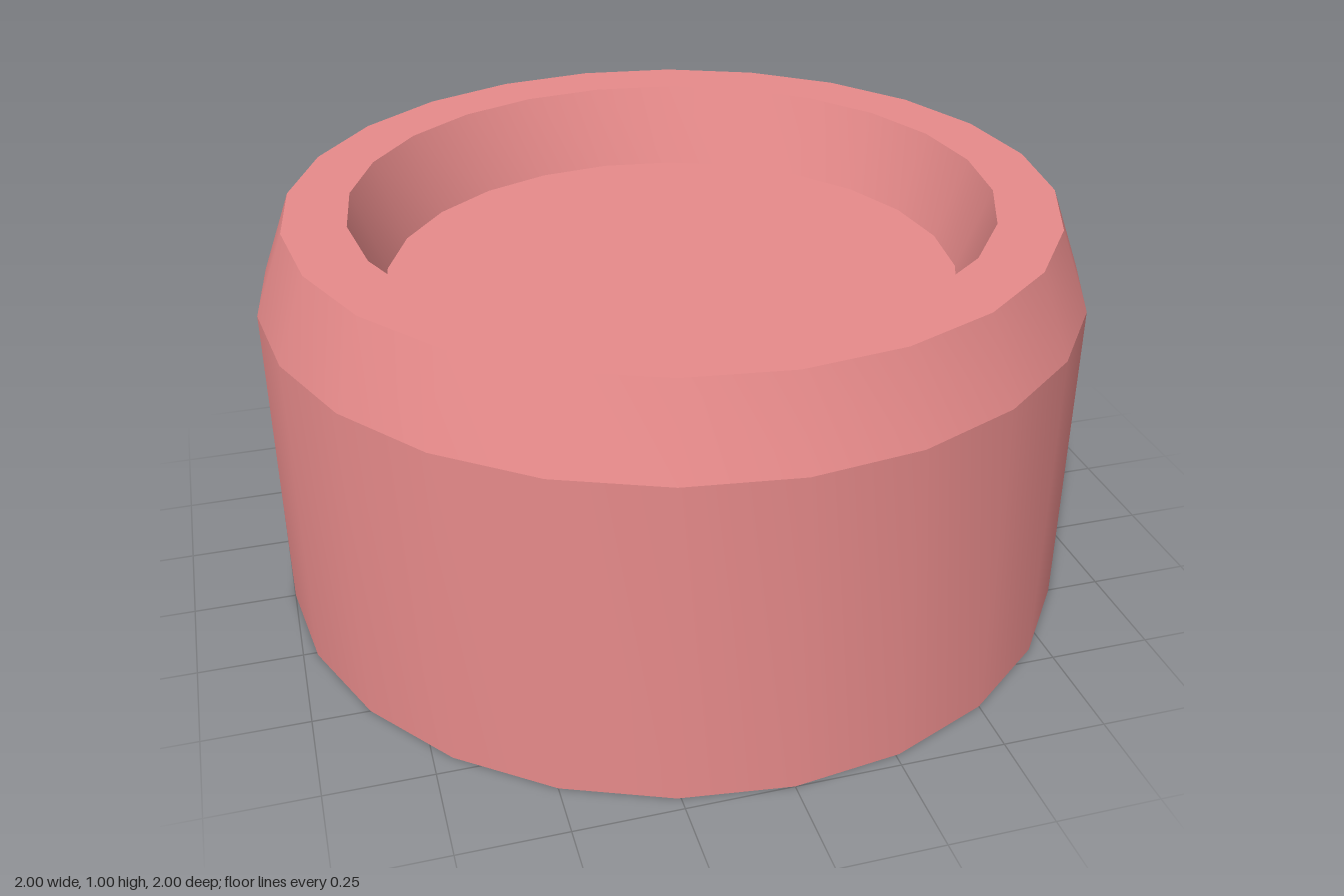
import * as THREE from 'three';
import { toCreasedNormals } from 'three/addons/utils/BufferGeometryUtils.js';

const SIDES = 24;

export function createModel() {
  const model = new THREE.Group();
  model.name = 'button';
  const material = new THREE.MeshStandardMaterial({ color: 0xe68a8a });

  // Profile from the base centre, up the wall, over the rim, into the recess
  const profile = [
    [0, 0], [1, 0], // base
    [1, 0.8], [0.925, 1], // wall and bevel
    [0.775, 1], [0.7, 0.8], // flat rim and sloped recess wall
    [0, 0.8], // recess floor
  ].map(([r, y]) => new THREE.Vector2(r, y));

  // Smooth around the sides, sharp between the bands
  const geometry = toCreasedNormals(
    new THREE.LatheGeometry(profile, SIDES),
    THREE.MathUtils.degToRad(17.5)
  );
  const body = new THREE.Mesh(geometry, material);
  body.name = 'recessedBody';
  model.add(body);

  return model;
}
